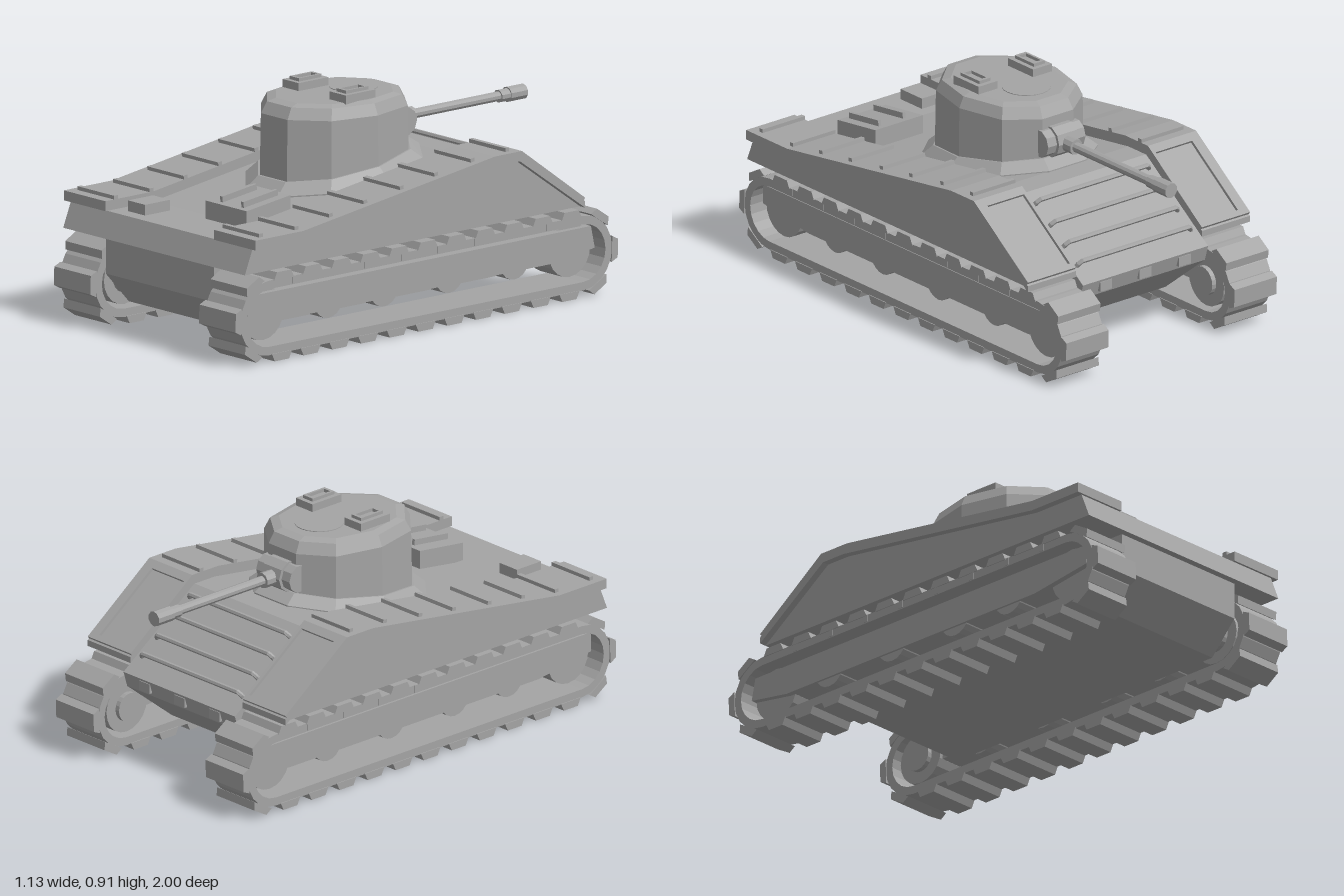
import * as THREE from 'three';
import { mergeGeometries } from 'three/addons/utils/BufferGeometryUtils.js';

const armour = new THREE.MeshStandardMaterial({ color: 0xa4a4a4 });
armour.name = 'armour grey';

// Every face keeps its own normal.
function faceted(geo) {
  const g = geo.index ? geo.toNonIndexed() : geo;
  g.computeVertexNormals();
  return g;
}

function add(parent, name, geo, x = 0, y = 0, z = 0) {
  const mesh = new THREE.Mesh(faceted(geo), armour);
  mesh.name = name;
  mesh.position.set(x, y, z);
  parent.add(mesh);
  return mesh;
}

const box = (w, h, d) => new THREE.BoxGeometry(w, h, d);
const wheel = (r, w) => new THREE.CylinderGeometry(r, r, w, 20).rotateZ(Math.PI / 2);

// Extrude a side profile of [z, y] points from x0 to x1; a hole runs the opposite way round.
function sideProfile(points, x0, x1, hole) {
  const toVec = ([z, y]) => new THREE.Vector2(-z, y);
  const shape = new THREE.Shape(points.map(toVec));
  if (hole) shape.holes.push(new THREE.Path(hole.map(toVec).reverse()));
  const geo = new THREE.ExtrudeGeometry(shape, { depth: x1 - x0, bevelEnabled: false });
  return geo.rotateY(Math.PI / 2).translate(x0, 0, 0);
}

// Flat rectangular frame in the xy plane, extruded along z.
function frame(x0, x1, y0, y1, hx0, hx1, hy0, hy1, depth) {
  const rect = (a, b, c, d) => [[a, c], [b, c], [b, d], [a, d]].map(p => new THREE.Vector2(...p));
  const shape = new THREE.Shape(rect(x0, x1, y0, y1));
  shape.holes.push(new THREE.Path(rect(hx0, hx1, hy0, hy1)));
  return new THREE.ExtrudeGeometry(shape, { depth, bevelEnabled: false });
}

// Stack of [x, y, z] rings, counter-clockwise from above, closed by a fan on top.
function loft(rings) {
  const n = rings[0].length, pos = [], idx = [];
  rings.forEach(r => r.forEach(p => pos.push(...p)));
  for (let k = 0; k < rings.length - 1; k++)
    for (let i = 0; i < n; i++) {
      const a = k * n + i, b = k * n + (i + 1) % n;
      idx.push(a, b, b + n, a, b + n, a + n);
    }
  const top = (rings.length - 1) * n;
  for (let i = 1; i < n - 1; i++) idx.push(top, top + i, top + i + 1);
  const geo = new THREE.BufferGeometry();
  geo.setAttribute('position', new THREE.Float32BufferAttribute(pos, 3));
  geo.setIndex(idx);
  return geo;
}

const deckY = z => 0.47 + 0.14 * THREE.MathUtils.clamp((0.67 - z) / 1.02, 0, 1);
const DECK_TILT = Math.atan(0.14 / 1.02);

// Stadium path around the running gear: outline, and position and outward angle at distance s.
const HALF = 0.82, MID_Y = 0.178;
function stadium(r, segments = 10) {
  const pts = [];
  for (const side of [1, -1])
    for (let i = 0; i <= segments; i++) {
      const a = -Math.PI / 2 + Math.PI * i / segments;
      pts.push([side * (HALF + r * Math.cos(a)), MID_Y + side * r * Math.sin(a)]);
    }
  return pts;
}
function trackPoint(s, r) {
  const run = 2 * HALF, arc = Math.PI * r;
  const flip = s >= run + arc ? -1 : 1;
  if (flip < 0) s -= run + arc;
  const a = s < run ? -Math.PI / 2 : -Math.PI / 2 + (s - run) / r;
  const z = s < run ? -HALF + s : HALF + r * Math.cos(a);
  return { z: flip * z, y: MID_Y + flip * r * Math.sin(a), angle: a + (flip < 0 ? Math.PI : 0) };
}

function buildTrack(side) {
  const g = new THREE.Group();
  g.name = side > 0 ? 'leftTrack' : 'rightTrack';
  const cx = side * 0.4275;
  add(g, 'trackBand', sideProfile(stadium(0.15), cx - 0.104, cx + 0.104, stadium(0.116)));

  // Tread blocks with tapered faces
  const r = 0.147, length = 4 * HALF + 2 * Math.PI * r, count = 28, blocks = [];
  for (let i = 0; i < count; i++) {
    const p = trackPoint((i + 0.5) * length / count, r);
    const block = sideProfile([[-0.052, 0], [0.052, 0], [0.037, 0.031], [-0.037, 0.031]], -0.1075, 0.1075);
    block.rotateX(Math.PI / 2 - p.angle).translate(cx, p.y, p.z);
    blocks.push(block);
  }
  add(g, 'treadBlocks', mergeGeometries(blocks));

  // Side beam covering the wheels, which show below it
  add(g, 'sideBeam', sideProfile([[0.9, 0.19], [0.9, 0.27], [-0.89, 0.27], [-0.91, 0.18],
    [-0.72, 0.15], [0.62, 0.15]], cx - 0.07, cx + 0.07));
  for (const z of [0.47, 0.18, -0.16, -0.5])
    add(g, 'roadWheel', wheel(0.075, 0.12), cx, 0.19, z);
  for (const z of [0.8, -0.8]) {
    add(g, 'endWheel', wheel(0.108, 0.13), cx - side * 0.02, 0.183, z);
    add(g, 'endWheelHub', wheel(0.06, 0.05), cx - side * 0.08, 0.183, z);
  }
  for (let i = 0; i < 8; i++)
    add(g, 'guideTooth', box(0.212, 0.03, 0.022), cx, 0.313, 0.69 - i * 0.19);
  return g;
}

function buildFender(side) {
  const g = new THREE.Group();
  g.name = side > 0 ? 'leftFender' : 'rightFender';
  const [x0, x1] = side > 0 ? [0.32, 0.565] : [-0.565, -0.32];
  add(g, 'fenderPlate', sideProfile([[0.92, 0.47], [0.92, 0.51], [0.67, 0.51], [-0.33, 0.65], [-0.47, 0.65],
    [-0.477, 0.63], [-0.8, 0.395], [-0.8, 0.37], [-0.46, 0.61], [-0.35, 0.61], [0.67, 0.47]], x0, x1));
  // Raised border on the sloped end
  const [h0, h1] = side > 0 ? [0.335, 0.52] : [-0.52, -0.335];
  const border = add(g, 'slopeFrame',
    frame(x0, x1, 0, 0.408, h0, h1, 0.037, 0.383, 0.014).translate(0, 0, -0.014), 0, 0.65, -0.47);
  border.rotation.x = Math.atan2(-0.809, -0.588);
  // Cross cleats
  for (const z of [-0.42, -0.24, -0.05, 0.13, 0.32, 0.5, 0.68, 0.865]) {
    const onSlope = z > -0.33 && z < 0.67;
    const y = 0.51 + 0.14 * THREE.MathUtils.clamp(0.67 - z, 0, 1);
    add(g, 'fenderCleat', box(0.215, 0.03, 0.02), side * 0.4275, y, z).rotation.x = onSlope ? DECK_TILT : 0;
  }
  return g;
}

function buildTurret() {
  const g = new THREE.Group();
  g.name = 'turret';
  // Ten-sided outline, one half then mirrored, counter-clockwise from above
  const half = [[0.078, 0.315], [0.208, 0.2], [0.255, 0], [0.205, -0.2], [0.078, -0.295]];
  const outline = [...half, ...half.slice().reverse().map(([x, z]) => [-x, z])];
  const ring = (s, y) => outline.map(([x, z]) => [x * s - 0.008, typeof y === 'number' ? y : y(z * s), z * s]);
  add(g, 'turretCollar', loft([ring(1.21, z => deckY(z) - 0.02), ring(1.21, z => deckY(z) + 0.005),
    ring(1.04, z => deckY(z) + 0.045)]));
  add(g, 'turretShell', loft([ring(1.02, 0.48), ring(1, 0.81), ring(0.92, 0.855), ring(0.8, 0.865)]));
  add(g, 'roofHatch', new THREE.CylinderGeometry(0.096, 0.096, 0.008, 20), -0.01, 0.864, -0.1);
  for (const x of [-0.14, 0.137]) {
    add(g, 'periscopeBase', box(0.095, 0.04, 0.155), x, 0.877, 0.035);
    add(g, 'periscopeFrame',
      frame(-0.028, 0.028, -0.058, 0.058, -0.018, 0.018, -0.045, 0.045, 0.014).rotateX(-Math.PI / 2), x, 0.896, 0.035);
  }
  // Gun mount and barrel
  const gx = -0.01, gy = 0.706;
  add(g, 'gunMount', new THREE.CylinderGeometry(0.058, 0.058, 0.19, 10).rotateZ(Math.PI / 2), gx, 0.71, -0.29);
  add(g, 'gunMantlet', new THREE.CylinderGeometry(0.066, 0.066, 0.1, 10).rotateZ(Math.PI / 2), gx, 0.71, -0.295);
  const barrel = (name, r, z0, z1) => add(g, name,
    new THREE.CylinderGeometry(r, r, z0 - z1, 10).rotateX(Math.PI / 2), gx, gy, (z0 + z1) / 2);
  barrel('barrelCollar', 0.032, -0.33, -0.405);
  barrel('gunBarrel', 0.02, -0.38, -0.9);
  barrel('muzzleRing', 0.026, -0.855, -0.9);
  barrel('muzzle', 0.031, -0.9, -0.985);
  return g;
}

export function createModel() {
  const model = new THREE.Group();
  model.name = 'tank';

  // Hull
  add(model, 'upperHull', sideProfile([[0.95, 0.37], [0.91, 0.47], [0.67, 0.47], [-0.35, 0.61],
    [-0.46, 0.61], [-0.8, 0.37]], -0.535, 0.535));
  add(model, 'lowerHull', sideProfile([[0.92, 0.4], [0.92, 0.22], [0.8, 0.09], [-0.58, 0.09],
    [-0.82, 0.28], [-0.84, 0.345], [-0.46, 0.612], [-0.4, 0.5]], -0.318, 0.318));
  for (const x of [-0.2, 0, 0.2]) add(model, 'towLug', box(0.06, 0.04, 0.03), x, 0.315, -0.825);

  for (const side of [1, -1]) model.add(buildFender(side), buildTrack(side));

  // Grab bars across the sloped end
  for (const z of [-0.51, -0.6, -0.685, -0.765]) {
    const y = 0.61 + (z + 0.46) * 0.703;
    const path = new THREE.CurvePath();
    const p = [[-0.29, -0.005], [-0.28, 0.028], [0.28, 0.028], [0.29, -0.005]]
      .map(([x, h]) => new THREE.Vector3(x, y + h * 0.82, z - h * 0.57));
    for (let i = 0; i < 3; i++) path.add(new THREE.LineCurve3(p[i], p[i + 1]));
    add(model, 'grabBar', new THREE.TubeGeometry(path, 30, 0.01, 6));
  }

  // Deck hatch with two handles, and a small stowage box
  add(model, 'deckHatch', sideProfile([[0.71, 0.46], [0.71, 0.543], [0.48, 0.572], [0.48, 0.46]], 0.032, 0.275));
  for (const x of [0.103, 0.227])
    add(model, 'hatchHandle', box(0.014, 0.03, 0.18), x, 0.566, 0.6).rotation.x = 0.125;
  add(model, 'stowageBox', box(0.1, 0.05, 0.13), -0.213, 0.488, 0.787);

  model.add(buildTurret());
  return model;
}
